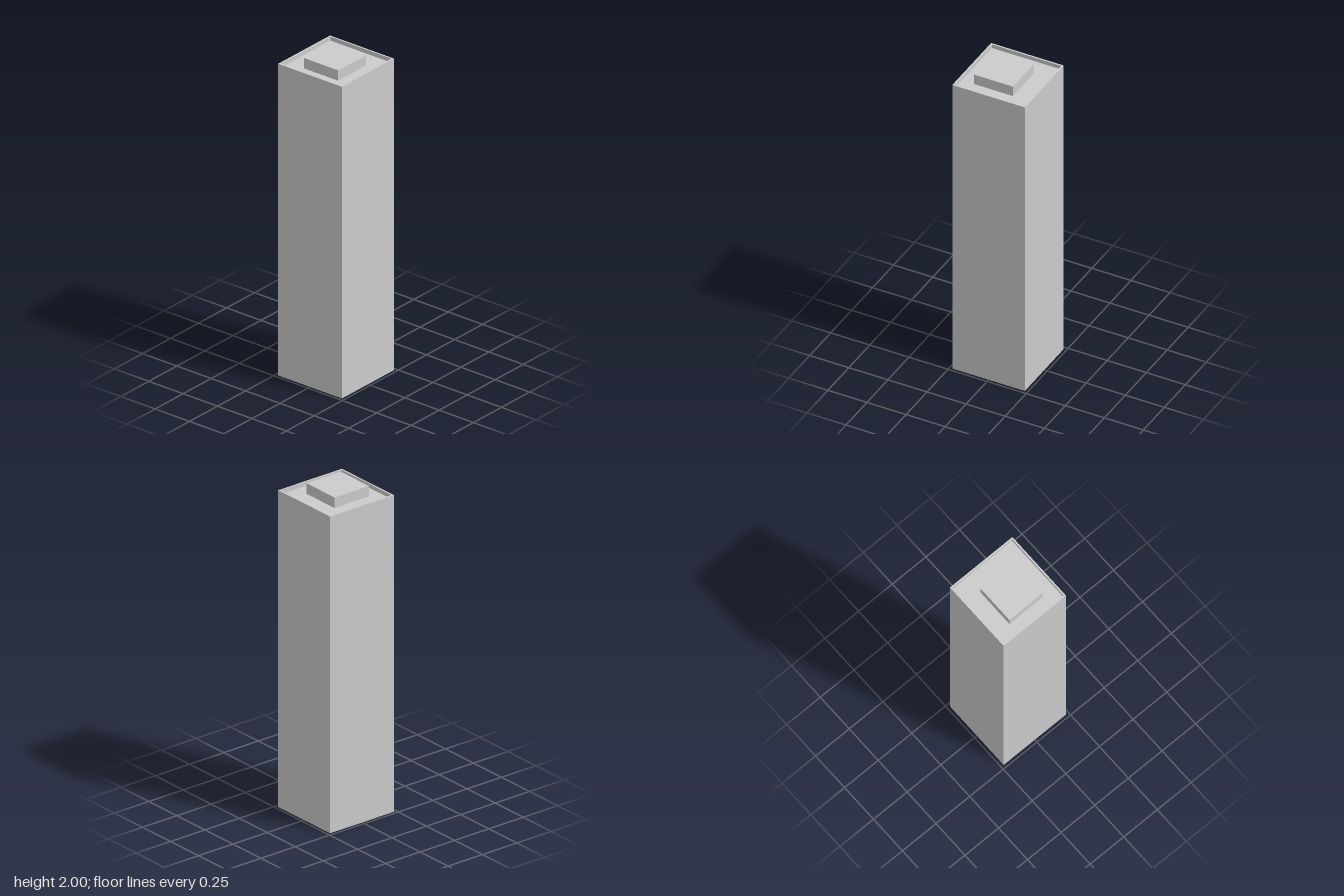
import * as THREE from 'three';

const HALF = 0.232, INNER = 0.222, WALL_TOP = 1.96, ROOF = 1.935;

const material = new THREE.MeshStandardMaterial({
  color: 0xcccccc, flatShading: true, side: THREE.DoubleSide,
});

// Square shell swept from a profile of [half width, height] points
function squareShell(name, profile) {
  const points = profile.map(([h, y]) => new THREE.Vector2(h * Math.SQRT2, y));
  const mesh = new THREE.Mesh(new THREE.LatheGeometry(points, 4, Math.PI / 4), material);
  mesh.name = name;
  return mesh;
}

export function createModel() {
  const tower = new THREE.Group();
  tower.name = 'tower';

  // Outer walls, open underneath
  tower.add(squareShell('walls', [[HALF, 0], [HALF, WALL_TOP]]));

  // Thin parapet rim around the sunken roof
  tower.add(squareShell('parapet', [[HALF, WALL_TOP], [INNER, WALL_TOP], [INNER, ROOF]]));

  // Flat roof
  const roof = new THREE.Mesh(
    new THREE.PlaneGeometry(2 * INNER, 2 * INNER).rotateX(-Math.PI / 2), material);
  roof.name = 'roof';
  roof.position.y = ROOF;
  tower.add(roof);

  // Off-centre rooftop block
  const block = new THREE.Mesh(new THREE.BoxGeometry(0.25, 2 - ROOF, 0.25), material);
  block.name = 'rooftopBlock';
  block.position.set(-0.021, (2 + ROOF) / 2, 0.01);
  tower.add(block);

  return tower;
}
